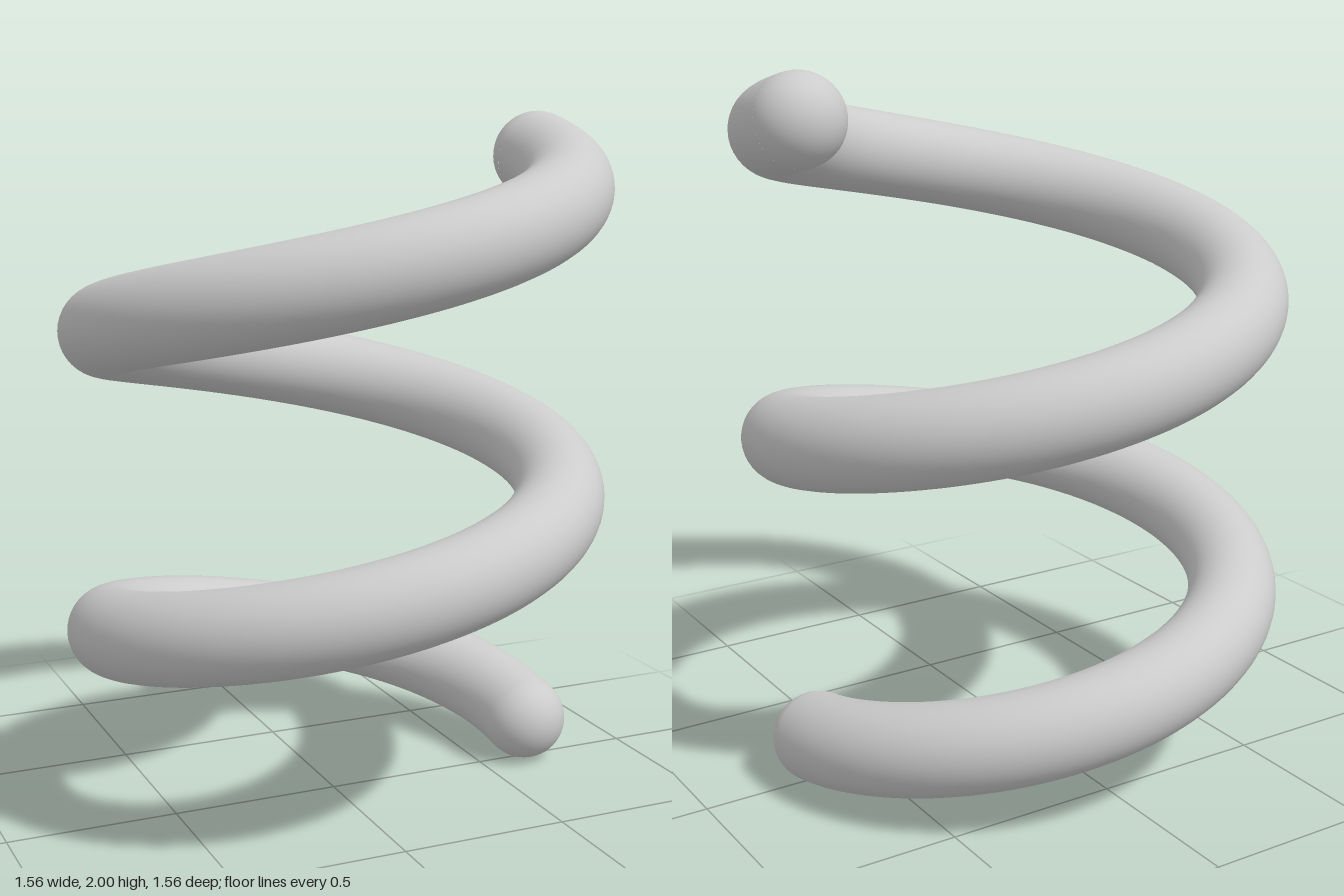
import * as THREE from 'three';

const COIL_R = 0.652, WIRE_R = 0.128, TURNS = 2;
const Y0 = WIRE_R, Y1 = 2 - WIRE_R;

// Centre line of the spring: starts at +x, rises towards the back first
class Helix extends THREE.Curve {
  getPoint(t, target = new THREE.Vector3()) {
    const a = t * TURNS * Math.PI * 2;
    return target.set(COIL_R * Math.cos(a), Y0 + (Y1 - Y0) * t, -COIL_R * Math.sin(a));
  }
}

export function createModel() {
  const group = new THREE.Group();
  group.name = 'spring';
  const material = new THREE.MeshStandardMaterial({ color: 0xcccccc });
  const path = new Helix();
  path.arcLengthDivisions = 400;

  // Coiled wire
  const coil = new THREE.Mesh(new THREE.TubeGeometry(path, 256, WIRE_R, 40, false), material);
  coil.name = 'coil';
  group.add(coil);

  // Rounded ends, each dome pointing outwards along the wire
  const dome = new THREE.SphereGeometry(WIRE_R, 40, 14, 0, Math.PI * 2, 0, Math.PI / 2);
  const up = new THREE.Vector3(0, 1, 0);
  for (const [name, t, dir] of [['bottomEnd', 0, -1], ['topEnd', 1, 1]]) {
    const cap = new THREE.Mesh(dome, material);
    cap.name = name;
    cap.position.copy(path.getPoint(t));
    cap.quaternion.setFromUnitVectors(up, path.getTangent(t).multiplyScalar(dir));
    group.add(cap);
  }
  return group;
}
